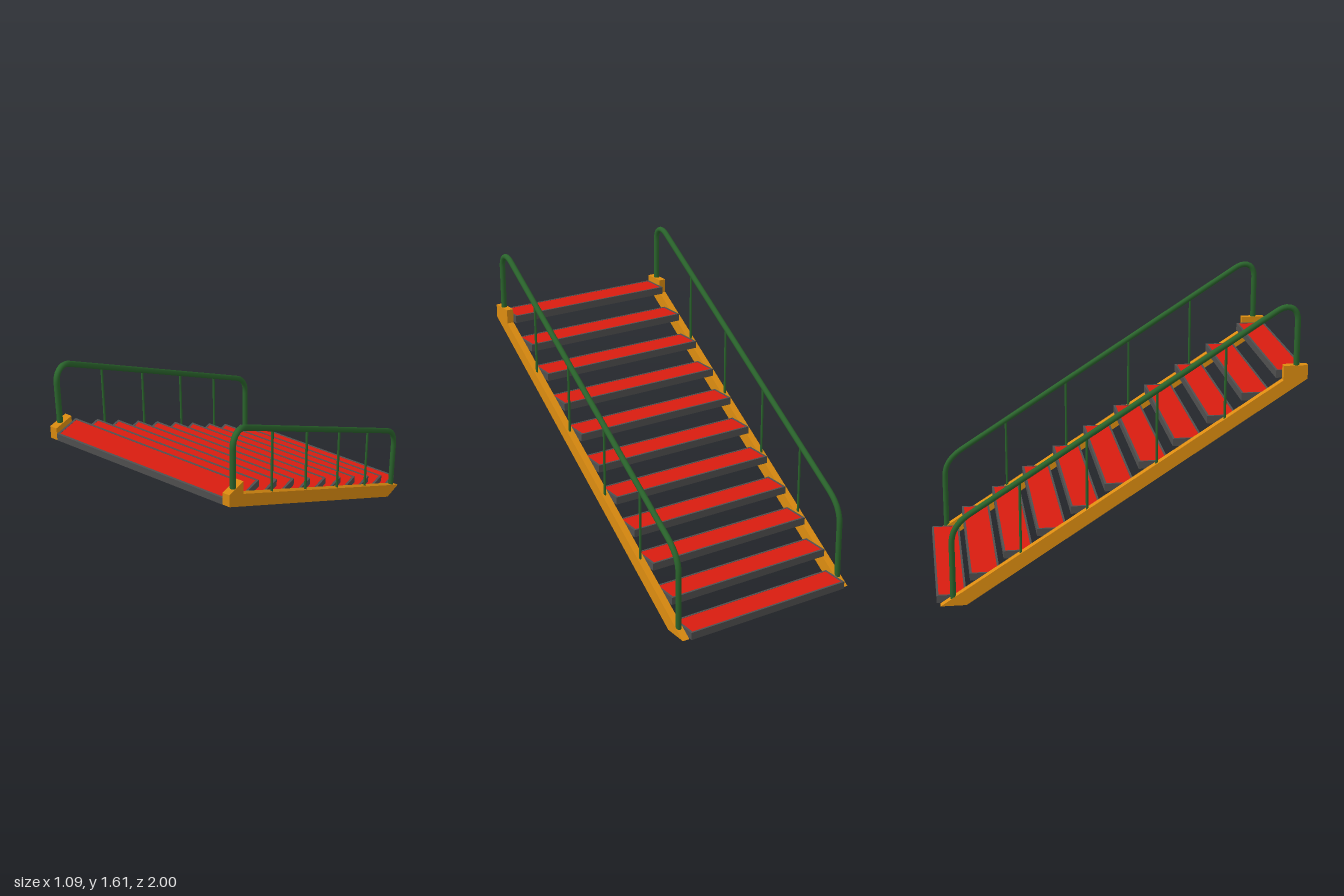
import * as THREE from 'three';

const mat = (color) => new THREE.MeshStandardMaterial({ color });
const orange = mat(0xdc8c10), green = mat(0x2a642c), red = mat(0xd81c10), grey = mat(0x505050);

function mesh(name, geometry, material) {
  const m = new THREE.Mesh(geometry, material);
  m.name = name;
  return m;
}

// rectangle outline centred on the origin
function rect(Target, w, h) {
  return new Target([[-w, -h], [w, -h], [w, h], [-w, h]].map(([x, y]) => new THREE.Vector2(x / 2, y / 2)));
}

// open-bottomed tread: a grey rim around a red panel
function makeTread() {
  const g = new THREE.Group();
  g.name = 'tread';
  const outline = rect(THREE.Shape, 1.01, 0.163);
  outline.holes.push(rect(THREE.Path, 0.985, 0.14));
  const rim = new THREE.ExtrudeGeometry(outline, { depth: 0.042, bevelEnabled: false });
  rim.rotateX(-Math.PI / 2);
  const panel = new THREE.BoxGeometry(0.985, 0.012, 0.14);
  panel.translate(0, 0.035, 0);
  g.add(mesh('treadRim', rim, grey), mesh('treadPanel', panel, red));
  return g;
}

// height of the handrail's sloping run
const railY = (z) => 1.577 + 0.645 * (z - 0.83);
// height of the stringer's upper edge
const stringerY = (z) => 1.2 + 0.647 * (z - 0.87);

function makeSide(side) {
  const g = new THREE.Group();
  g.name = side > 0 ? 'leftSide' : 'rightSide';

  // sloping stringer with a raised block at the high end
  const profile = new THREE.Shape(
    [[-0.98, 0], [-0.84, 0], [1, 1.205], [1, 1.28], [0.87, 1.28], [0.87, 1.2]]
      .map(([z, y]) => new THREE.Vector2(-z, y)));
  const stringer = new THREE.ExtrudeGeometry(profile, { depth: 0.04, bevelEnabled: false });
  stringer.translate(0, 0, -0.02);
  stringer.rotateY(Math.PI / 2); // profile -z becomes world z
  stringer.translate(side * 0.525, 0, 0);
  g.add(mesh('stringer', stringer, orange));

  // bent tubular handrail
  const x = side * 0.527;
  const p = (z, y) => new THREE.Vector3(x, y, z);
  const path = new THREE.CurvePath();
  path.add(new THREE.LineCurve3(p(0.94, 1.27), p(0.94, 1.52)));
  path.add(new THREE.CubicBezierCurve3(p(0.94, 1.52), p(0.94, 1.59), p(0.89, 1.615), p(0.83, railY(0.83))));
  path.add(new THREE.LineCurve3(p(0.83, railY(0.83)), p(-0.8, railY(-0.8))));
  path.add(new THREE.CubicBezierCurve3(p(-0.8, railY(-0.8)), p(-0.87, railY(-0.87)), p(-0.91, 0.43), p(-0.91, 0.35)));
  path.add(new THREE.LineCurve3(p(-0.91, 0.35), p(-0.91, 0.03)));
  g.add(mesh('handrail', new THREE.TubeGeometry(path, 160, 0.016, 14), green));

  // thin balusters
  for (const z of [0.56, 0.195, -0.18, -0.54]) {
    const low = stringerY(z) - 0.01, high = railY(z);
    const b = mesh('baluster', new THREE.CylinderGeometry(0.007, 0.007, high - low, 10), green);
    b.position.set(x, (low + high) / 2, z);
    g.add(b);
  }
  return g;
}

export function createModel() {
  const model = new THREE.Group();
  model.name = 'staircase';
  for (let i = 0; i < 11; i++) {
    const tread = makeTread();
    tread.position.set(0, 0.004 + i * 0.12, -0.9185 + i * 0.1837);
    model.add(tread);
  }
  model.add(makeSide(1), makeSide(-1));
  return model;
}
